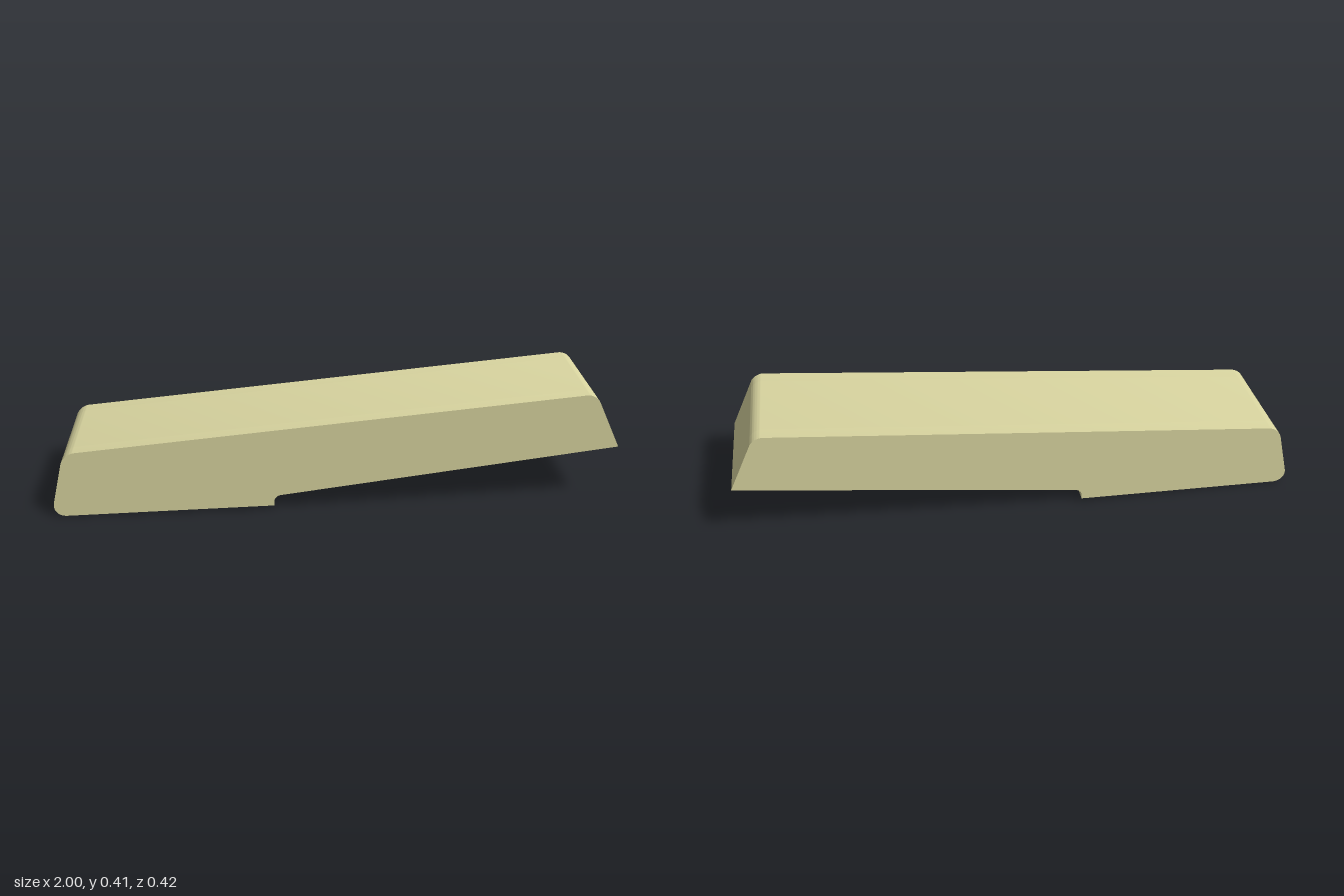
import * as THREE from 'three';
import { toCreasedNormals } from 'three/addons/utils/BufferGeometryUtils.js';

const HALF_WIDTH = 0.2085;  // outer half width
const HALF_INNER = 0.157;   // half width of the channel

// Outline corners: [x, y, length trimmed off each edge for rounding]
const bottomRear = [-1.011, 0.001, 0.055];
const topRear = [-0.951, 0.243, 0.04];
const topNose = [0.904, 0.417, 0.034];
const noseTip = [1, 0.213, 0];

const sideOutline = [
  bottomRear,
  [-0.225, 0.018, 0],
  [-0.225, 0.056, 0.023], // filleted step in the lower edge
  noseTip, topNose, topRear,
];

const roofOutline = [
  [-0.964, 0.189, 0],
  [0.869, 0.361, 0],
  [0.942, 0.206, 0],
  noseTip, topNose, topRear,
];

// Closed shape with rounded corners
function roundedShape(corners) {
  const shape = new THREE.Shape();
  const n = corners.length;
  corners.forEach(([x, y, r], i) => {
    const p = new THREE.Vector2(x, y);
    const toward = (c, d) =>
      new THREE.Vector2(c[0], c[1]).sub(p).setLength(d).add(p);
    const prev = corners[(i + n - 1) % n];
    const next = corners[(i + 1) % n];
    const a = toward(prev, r);
    if (i === 0) shape.moveTo(a.x, a.y);
    else shape.lineTo(a.x, a.y);
    if (r > 0) {
      const c1 = toward(prev, r * 0.45);
      const c2 = toward(next, r * 0.45);
      const b = toward(next, r);
      shape.bezierCurveTo(c1.x, c1.y, c2.x, c2.y, b.x, b.y);
    }
  });
  shape.closePath();
  return shape;
}

export function createModel() {
  const group = new THREE.Group();
  group.name = 'channelCover';
  const material = new THREE.MeshStandardMaterial({ color: 0xd9d5a0 });

  function addSlab(name, outline, z0, z1) {
    const geometry = new THREE.ExtrudeGeometry(roundedShape(outline), {
      depth: z1 - z0, bevelEnabled: false, curveSegments: 12,
    });
    geometry.translate(0, 0, z0);
    const mesh = new THREE.Mesh(toCreasedNormals(geometry, 0.4), material);
    mesh.name = name;
    group.add(mesh);
  }

  // Two side walls, joined by the roof and the closed nose
  addSlab('frontWall', sideOutline, HALF_INNER, HALF_WIDTH);
  addSlab('backWall', sideOutline, -HALF_WIDTH, -HALF_INNER);
  addSlab('roofAndNose', roofOutline, -HALF_INNER, HALF_INNER);

  return group;
}
